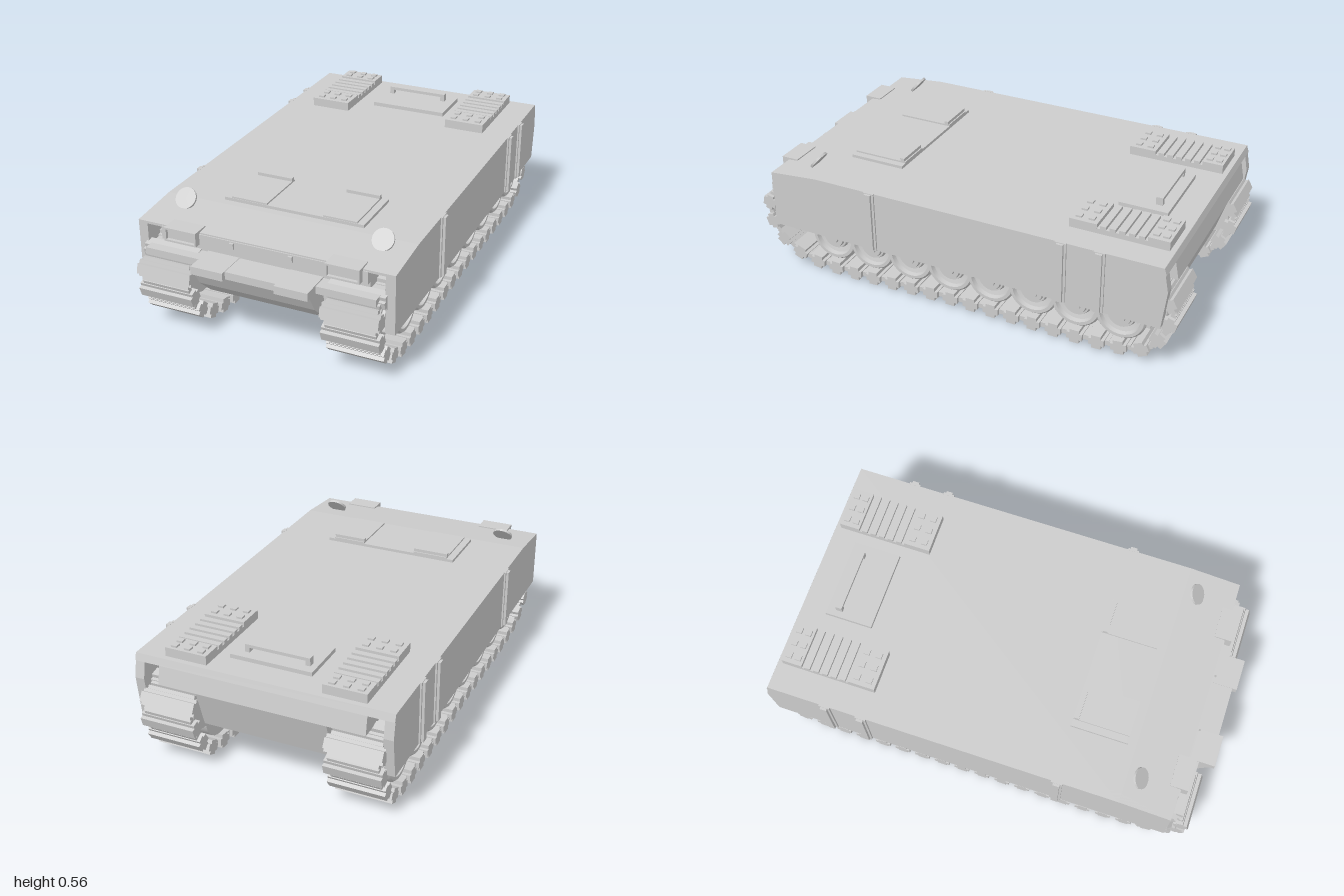
import * as THREE from 'three';
import { mergeGeometries, toCreasedNormals } from 'three/addons/utils/BufferGeometryUtils.js';

const grey = new THREE.MeshStandardMaterial({ color: 0xcccccc });
grey.name = 'plain grey';

export function createModel() {
  const model = new THREE.Group();
  model.name = 'trackedHull';

  const add = (name, geo, parent = model) => {
    const mesh = new THREE.Mesh(geo, grey);
    mesh.name = name;
    parent.add(mesh);
    return mesh;
  };
  // box from its limits on each axis
  const box = (x0, x1, y0, y1, z0, z1) =>
    new THREE.BoxGeometry(x1 - x0, y1 - y0, z1 - z0)
      .translate((x0 + x1) / 2, (y0 + y1) / 2, (z0 + z1) / 2);
  // side profile of [z, y] points, extruded from x0 to x1
  const slab = (pts, x0, x1) =>
    new THREE.ExtrudeGeometry(new THREE.Shape(pts.map(p => new THREE.Vector2(...p))),
      { depth: x1 - x0, bevelEnabled: false }).rotateY(-Math.PI / 2).translate(x1, 0, 0);
  // box limits mirrored to the given side
  const sideBox = (s, a, b, ...rest) => (s > 0 ? box(a, b, ...rest) : box(-b, -a, ...rest));

  // Hull
  add('deck', slab([[-0.945, 0.455], [0.88, 0.455], [0.88, 0.466], [0.65, 0.486], [-0.935, 0.486]], -0.563, 0.563));
  add('upperHull', slab([[-0.96, 0.375], [0.86, 0.375], [0.86, 0.405], [0.885, 0.405], [0.885, 0.46], [-0.943, 0.46]], -0.452, 0.452));
  add('lowerHull', slab([[-0.9, 0.2], [0.84, 0.2], [0.86, 0.275], [0.86, 0.38], [-0.955, 0.38]], -0.286, 0.286));
  add('nose', slab([[0.8, 0.2], [0.86, 0.2], [0.94, 0.275], [0.98, 0.345], [0.98, 0.378], [0.8, 0.378]], -0.255, 0.255));
  add('frontLedge', box(-0.505, 0.505, 0.343, 0.375, 0.82, 0.93));

  // Wheel profiles: radius against width
  const wheelProfile = [
    [0, -0.1], [0.112, -0.1], [0.112, -0.02], [0.08, -0.02], [0.08, 0.02], [0.112, 0.02], [0.112, 0.09],
    [0.104, 0.1], [0.09, 0.1], [0.086, 0.08], [0.064, 0.074], [0.058, 0.09], [0.05, 0.09],
    [0.046, 0.102], [0.026, 0.102], [0.024, 0.112], [0, 0.112]];
  const wheelGeo = s => toCreasedNormals(
    new THREE.LatheGeometry(wheelProfile.map(p => new THREE.Vector2(...p)), 28), 0.6)
    .rotateZ(-s * Math.PI / 2);

  // Track loop in the side plane
  const loop = new THREE.CatmullRomCurve3([
    [0.7, 0.032], [0.82, 0.068], [0.905, 0.14], [0.94, 0.25], [0.915, 0.325], [0.84, 0.353],
    [0, 0.35], [-0.85, 0.353], [-0.935, 0.32], [-0.966, 0.25], [-0.93, 0.135], [-0.865, 0.06],
    [-0.77, 0.032], [0, 0.032]].map(([z, y]) => new THREE.Vector3(0, y, z)), true, 'centripetal');
  loop.arcLengthDivisions = 800;
  const count = Math.round(loop.getLength() / 0.0965);
  const linkGeo = mergeGeometries([
    new THREE.BoxGeometry(0.245, 0.03, 0.07),
    new THREE.BoxGeometry(0.245, 0.062, 0.042),
    new THREE.BoxGeometry(0.215, 0.022, 0.1)]);
  const trackGeo = mergeGeometries(Array.from({ length: count }, (_, i) => {
    const p = loop.getPointAt(i / count), t = loop.getTangentAt(i / count);
    return linkGeo.clone().rotateX(-Math.atan2(t.y, t.z)).translate(p.x, p.y, p.z);
  }));

  for (const s of [1, -1]) {
    const label = s > 0 ? 'left' : 'right';

    // Skirt and its vertical straps
    const skirt = [[0.88, 0.205], [0.88, 0.466], [0.65, 0.486], [-0.935, 0.486], [-0.955, 0.38], [-0.935, 0.205]];
    add(label + 'Skirt', s > 0 ? slab(skirt, 0.522, 0.563) : slab(skirt, -0.563, -0.522));
    for (const z of [0.38, -0.505, -0.67]) {
      add(label + 'SkirtStrap', sideBox(s, 0.56, 0.57, 0.207, 0.487, z - 0.025, z + 0.025));
      add(label + 'SkirtStrapRib', sideBox(s, 0.56, 0.581, 0.212, 0.484, z - 0.015, z + 0.015));
    }

    // Running gear
    const gear = new THREE.Group();
    gear.name = label + 'RunningGear';
    gear.position.x = s * 0.408;
    model.add(gear);
    add('track', trackGeo, gear);
    const wheel = wheelGeo(s);
    for (let i = 0; i < 8; i++) {
      add('roadWheel', wheel, gear).position.set(0, 0.172, 0.617 - i * 0.195);
    }
    for (const [name, z, y] of [['sprocket', 0.825, 0.252], ['idler', -0.862, 0.243]]) {
      const end = new THREE.Group();
      end.name = name;
      end.position.set(0, y, z);
      gear.add(end);
      add('endWheel', wheel, end).scale.set(1, 0.76, 0.76);
      for (let i = 0; i < 12; i++) {
        add('tooth', new THREE.BoxGeometry(0.03, 0.05, 0.025).translate(s * 0.07, 0.08, 0), end)
          .rotation.x = i * Math.PI / 6;
      }
    }

    // Nose blocks
    add(label + 'NoseBlock', sideBox(s, 0.112, 0.255, 0.345, 0.38, 0.86, 1));

    // Headlight: box with raised frame
    const hx = s > 0 ? 0.358 : -0.35;
    const light = new THREE.Group();
    light.name = label + 'Headlight';
    light.position.x = hx;
    model.add(light);
    add('housing', box(-0.072, 0.072, 0.415, 0.475, 0.835, 0.9), light);
    add('frameTop', box(-0.072, 0.072, 0.467, 0.475, 0.9, 0.914), light);
    add('frameBottom', box(-0.072, 0.072, 0.415, 0.423, 0.9, 0.914), light);
    for (const e of [-0.068, 0.068]) add('frameSide', box(e - 0.004, e + 0.004, 0.423, 0.467, 0.9, 0.914), light);
    add(label + 'FrontLug', sideBox(s, 0.12, 0.138, 0.43, 0.455, 0.88, 0.895));

    // Tilted round mirror on a short stem
    const mirror = new THREE.Group();
    mirror.name = label + 'Mirror';
    mirror.position.set(s * 0.44, 0.509, 0.71);
    mirror.rotation.x = 0.88;
    model.add(mirror);
    add('disc', toCreasedNormals(new THREE.CylinderGeometry(0.046, 0.046, 0.01, 28), 0.6), mirror);

    // Rear armour pack: slatted centre between two studded ends
    const pack = new THREE.Group();
    pack.name = label + 'RearPack';
    pack.position.x = s * 0.345;
    model.add(pack);
    add('base', box(-0.093, 0.093, 0.48, 0.508, -0.912, -0.485), pack);
    for (const [z0, z1] of [[-0.912, -0.82], [-0.605, -0.485]]) {
      add('endPlate', box(-0.093, 0.093, 0.508, 0.526, z0, z1), pack);
      for (const x of [-0.06, 0, 0.06]) for (const k of [0.27, 0.73]) {
        const z = z0 + (z1 - z0) * k;
        add('stud', box(x - 0.013, x + 0.013, 0.526, 0.534, z - 0.013, z + 0.013), pack);
      }
    }
    for (let i = 0; i < 5; i++) {
      const z = -0.795 + i * 0.041;
      add('slat', box(-0.093, 0.093, 0.508, 0.522, z - 0.013, z + 0.013), pack);
    }
  }

  // Front hatch with two hinged leaves
  add('frontHatch', box(-0.312, 0.317, 0.48, 0.499, 0.36, 0.615));
  for (const [x0, x1] of [[-0.28, -0.117], [0.137, 0.287]]) {
    add('hatchLeaf', box(x0, x1, 0.499, 0.506, 0.36, 0.613));
    add('hatchHinge', box(x0, x1, 0.506, 0.52, 0.366, 0.386));
  }

  // Rear hatch with grab handle
  add('rearHatch', box(-0.165, 0.197, 0.48, 0.504, -0.82, -0.605));
  add('handleBar', box(-0.138, 0.15, 0.525, 0.539, -0.78, -0.75));
  for (const x of [-0.138, 0.13]) add('handleLeg', box(x, x + 0.02, 0.504, 0.525, -0.78, -0.75));

  return model;
}
